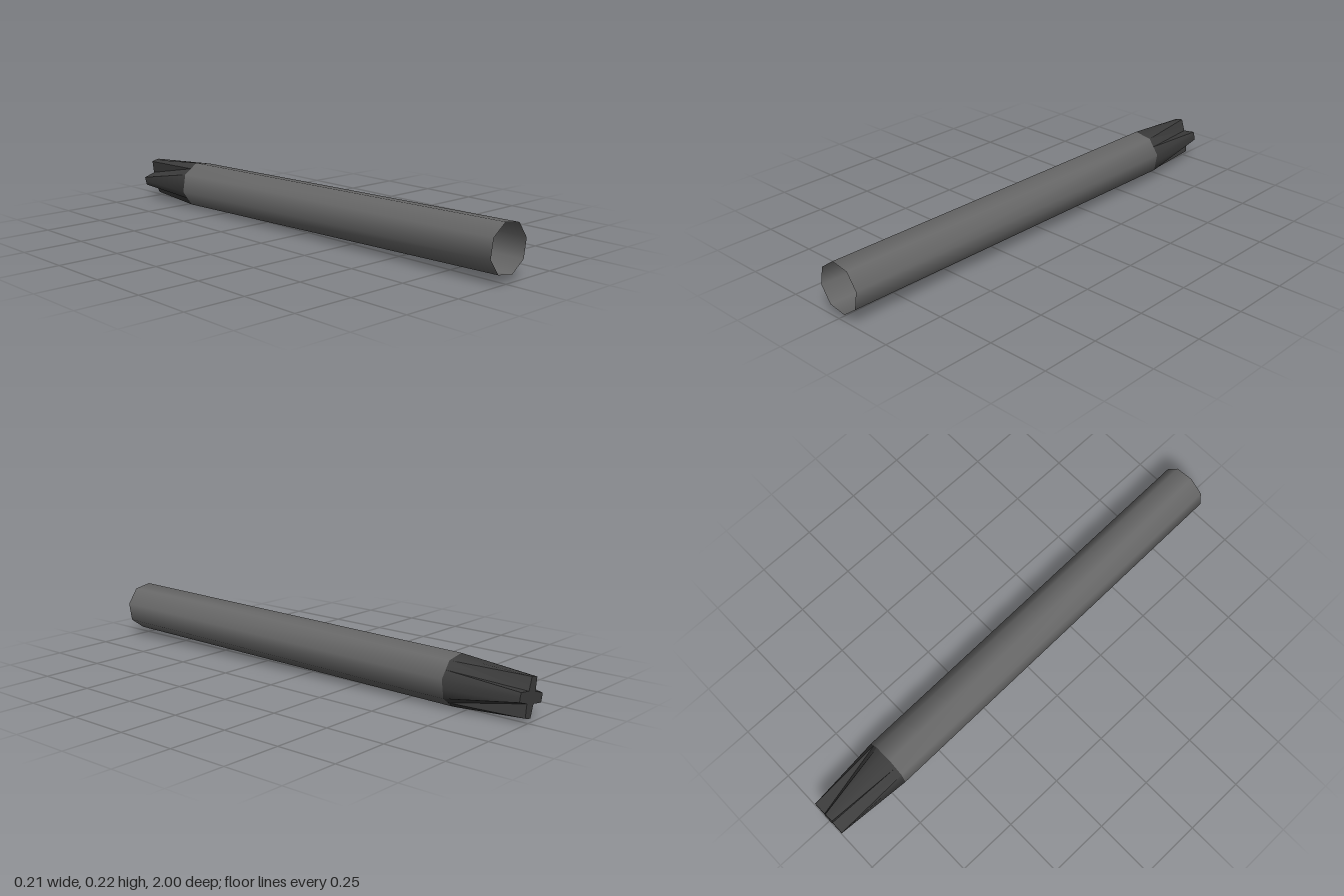
import * as THREE from 'three';
import { toCreasedNormals } from 'three/addons/utils/BufferGeometryUtils.js';

const TURN = THREE.MathUtils.degToRad(13); // roll of the octagon and cross about the long axis

// Centre of the slightly tilted axis at a given z
const axisAt = (z) => [0.01 + (z - 1) * 0.0118, 0.129 + (z - 1) * 0.0165];

// Places flat [x, y] points around the axis at z
function ring(points, z) {
  const [cx, cy] = axisAt(z);
  const c = Math.cos(TURN), s = Math.sin(TURN);
  return points.map(([x, y]) => [cx + x * c - y * s, cy + x * s + y * c, z]);
}

// Skins two rings, the first nearer the front; optionally caps the second
function loft(a, b, capped) {
  const n = a.length, pos = [];
  const tri = (...p) => p.forEach((v) => pos.push(...v));
  const mid = axisAt(b[0][2]).concat(b[0][2]);
  for (let i = 0; i < n; i++) {
    const j = (i + 1) % n;
    tri(a[i], b[i], b[j]);
    tri(a[i], b[j], a[j]);
    if (capped) tri(mid, b[j], b[i]);
  }
  const g = new THREE.BufferGeometry();
  g.setAttribute('position', new THREE.Float32BufferAttribute(pos, 3));
  return toCreasedNormals(g, THREE.MathUtils.degToRad(50));
}

const polar = (r, t) => [r * Math.cos(t), r * Math.sin(t)];

export function createModel() {
  const group = new THREE.Group();
  const grey = new THREE.MeshStandardMaterial({ name: 'midGrey', color: 0x686868, side: THREE.DoubleSide });
  const dark = new THREE.MeshStandardMaterial({ name: 'darkGrey', color: 0x3c3c3c, side: THREE.DoubleSide });

  const R = 0.1, seam = -0.69;
  const octagon = Array.from({ length: 8 }, (_, i) => polar(R, i * Math.PI / 4));

  // Hollow shaft, open at the front
  const shaft = new THREE.Mesh(loft(ring(octagon, 1), ring(octagon, seam), false), grey);
  shaft.name = 'shaft';

  // Tip: octagon blending into a four-armed cross
  const base = [], cross = [];
  for (let k = 0; k < 4; k++) {
    const t = k * Math.PI / 2;
    const v0 = polar(R, t), v1 = polar(R, t + Math.PI / 4), v2 = polar(R, t + Math.PI / 2);
    const half = (p, q) => [(p[0] + q[0]) / 2, (p[1] + q[1]) / 2];
    base.push(v0, half(v0, v1), v1, half(v1, v2));
    const corner = Math.atan2(0.018, 0.075), rc = Math.hypot(0.018, 0.075);
    cross.push(
      polar(0.076, t),
      polar(rc, t + corner),
      polar(0.032, t + Math.PI / 4),
      polar(rc, t + Math.PI / 2 - corner)
    );
  }
  const tip = new THREE.Mesh(loft(ring(base, seam), ring(cross, -1), true), dark);
  tip.name = 'crossTip';

  group.add(shaft, tip);
  return group;
}
